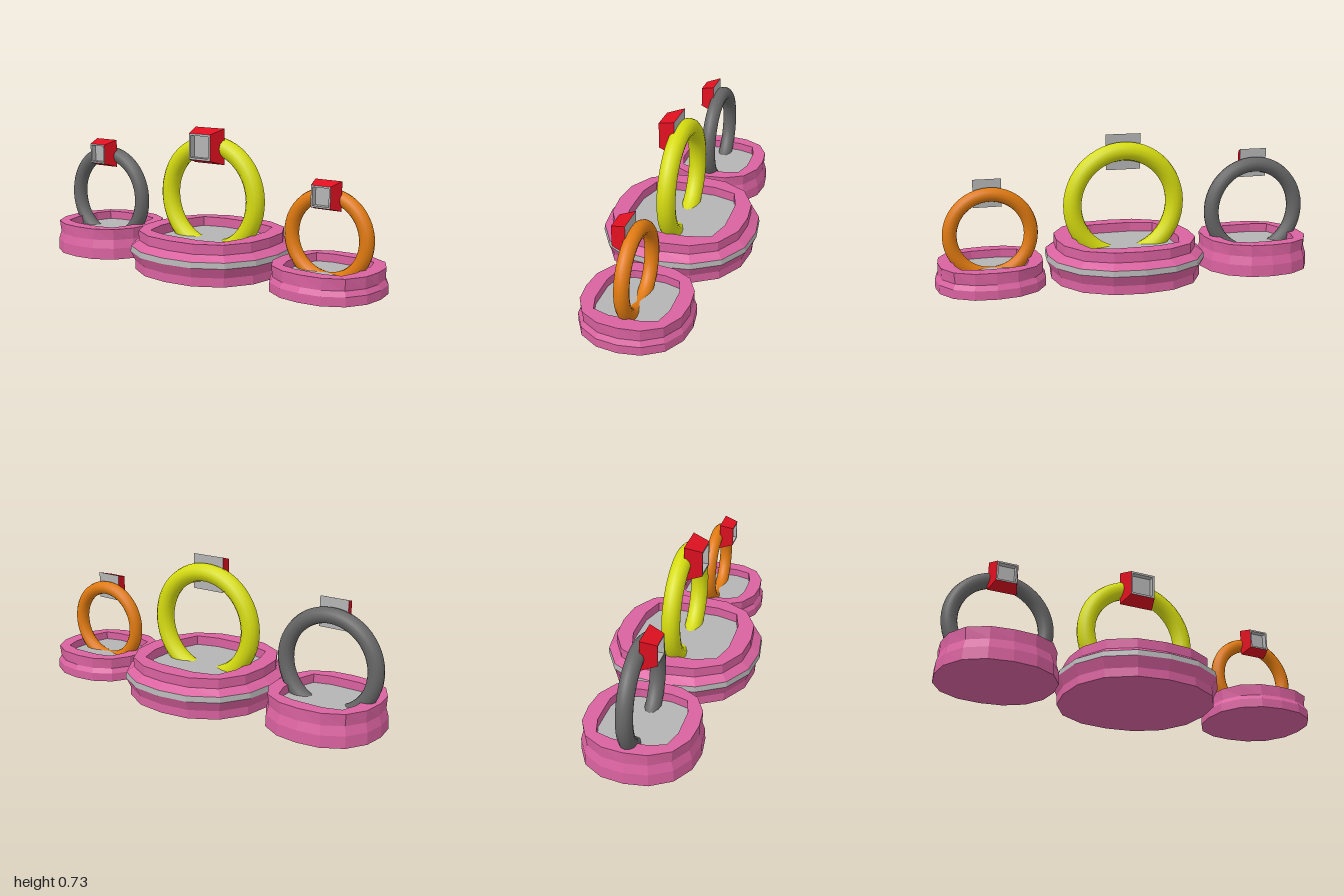
import * as THREE from 'three';

const mat = (color, flatShading = true) => new THREE.MeshStandardMaterial({ color, flatShading });
const PINK = 0xd9629f, GREY = 0xb4b4b4, RED = 0xe01020;

// Skin a stack of superellipse rings [radius, height, exponent]; radius 0 closes the end
function loft(rings, sides, start = 0, depthScale = 1) {
  const pos = [];
  const point = ([r, y, n = 2], i) => {
    const a = start + (i % sides) / sides * Math.PI * 2, c = Math.cos(a), s = Math.sin(a);
    const k = r / Math.pow(Math.abs(c) ** n + Math.abs(s) ** n, 1 / n);
    return [k * c, y, k * s * depthScale];
  };
  for (let j = 0; j < rings.length - 1; j++) {
    const lo = rings[j], hi = rings[j + 1];
    for (let i = 0; i < sides; i++) {
      const a = point(lo, i), b = point(lo, i + 1), c = point(hi, i), d = point(hi, i + 1);
      if (hi[0] > 0) pos.push(...a, ...c, ...d);
      if (lo[0] > 0) pos.push(...a, ...d, ...b);
    }
  }
  const g = new THREE.BufferGeometry();
  g.setAttribute('position', new THREE.Float32BufferAttribute(pos, 3));
  g.computeVertexNormals();
  return g;
}

function add(group, name, geometry, material) {
  const m = new THREE.Mesh(geometry, material);
  m.name = name;
  group.add(m);
  return m;
}

// Pedestal: outer tiers, flat rim, recessed squarish tray with a grey floor
function pedestal({ x, tiers, band, rim, hole, floor }) {
  const g = new THREE.Group();
  g.name = 'pedestal';
  g.position.x = x;
  const skin = (name, rings, color) => add(g, name, loft(rings, 16, 0, 0.98), mat(color));
  const outer = tiers.map(([r, y]) => [r, y, 2.3]);
  const top = [[rim[0], rim[1], 2.5], [hole, rim[1], 4.6], [hole, floor, 4.6]];
  if (band) {
    const b = band.map(([r, y]) => [r, y, 2.3]);
    skin('pedestalBase', [[0, 0], ...outer, b[0]], PINK);
    skin('pedestalBand', b, GREY);
    skin('pedestalRim', [b[1], [rim[0], 0.155, 2.5], ...top], PINK);
  } else {
    skin('pedestalBody', [[0, 0], ...outer, ...top], PINK);
  }
  skin('trayFloor', [[hole, floor, 4.6], [0, floor]], GREY);
  return g;
}

// Ring band: a torus arc whose ends sink just below the tray floor
function band({ x, y, R, r, color }, floor) {
  const start = Math.asin(Math.max(-1, (floor - 0.045 - y) / R));
  const geo = new THREE.TorusGeometry(R, r, 12, 48, Math.PI - 2 * start);
  geo.rotateZ(start);
  const m = new THREE.Mesh(geo, mat(color, false));
  m.name = 'ringBand';
  m.position.set(x, y, 0);
  return m;
}

// Stone setting: red tapered sides, grey back plate and recessed grey front
function setting({ x, y, back, front, z0, z1 }) {
  const g = new THREE.Group();
  g.name = 'stoneSetting';
  g.position.set(x, y, 0);
  const square = (name, rings, color) => {
    const geo = loft(rings.map(([h, z]) => [h * Math.SQRT2, z]), 4, Math.PI / 4);
    add(g, name, geo.rotateX(Math.PI / 2), mat(color));
  };
  const inner = front * 0.84, deep = z1 - 0.03;
  square('settingBack', [[0, z0], [back, z0]], GREY);
  square('settingSides', [[back, z0], [front, z1]], RED);
  square('stoneFace', [[front, z1], [inner, z1], [inner, deep], [0, deep]], GREY);
  return g;
}

export function createModel() {
  const model = new THREE.Group();
  model.name = 'ringDisplay';
  const sets = [
    {
      name: 'centreDisplay',
      base: { x: 0.02, tiers: [[0.388, 0], [0.388, 0.045]], band: [[0.412, 0.097], [0.408, 0.126]],
        rim: [0.361, 0.205], hole: 0.265, floor: 0.155 },
      ring: { x: 0.018, y: 0.372, R: 0.275, r: 0.048, color: 0xd6dc10 },
      gem: { x: 0.018, y: 0.642, back: 0.0925, front: 0.067, z0: 0.015, z1: 0.104 },
    },
    {
      name: 'rightDisplay',
      base: { x: -0.707, tiers: [[0.292, 0], [0.29, 0.06], [0.277, 0.105]],
        rim: [0.277, 0.165], hole: 0.198, floor: 0.12 },
      ring: { x: -0.713, y: 0.302, R: 0.243, r: 0.04, color: 0x666666 },
      gem: { x: -0.713, y: 0.551, back: 0.076, front: 0.053, z0: 0.02, z1: 0.096 },
    },
    {
      name: 'leftDisplay',
      base: { x: 0.72, tiers: [[0.277, 0], [0.277, 0.045], [0.262, 0.07]],
        rim: [0.262, 0.127], hole: 0.184, floor: 0.085 },
      ring: { x: 0.714, y: 0.255, R: 0.204, r: 0.036, color: 0xe07a10 },
      gem: { x: 0.722, y: 0.462, back: 0.0715, front: 0.052, z0: 0.022, z1: 0.095 },
    },
  ];
  for (const s of sets) {
    const g = new THREE.Group();
    g.name = s.name;
    g.add(pedestal(s.base), band(s.ring, s.base.floor), setting(s.gem));
    model.add(g);
  }
  return model;
}
